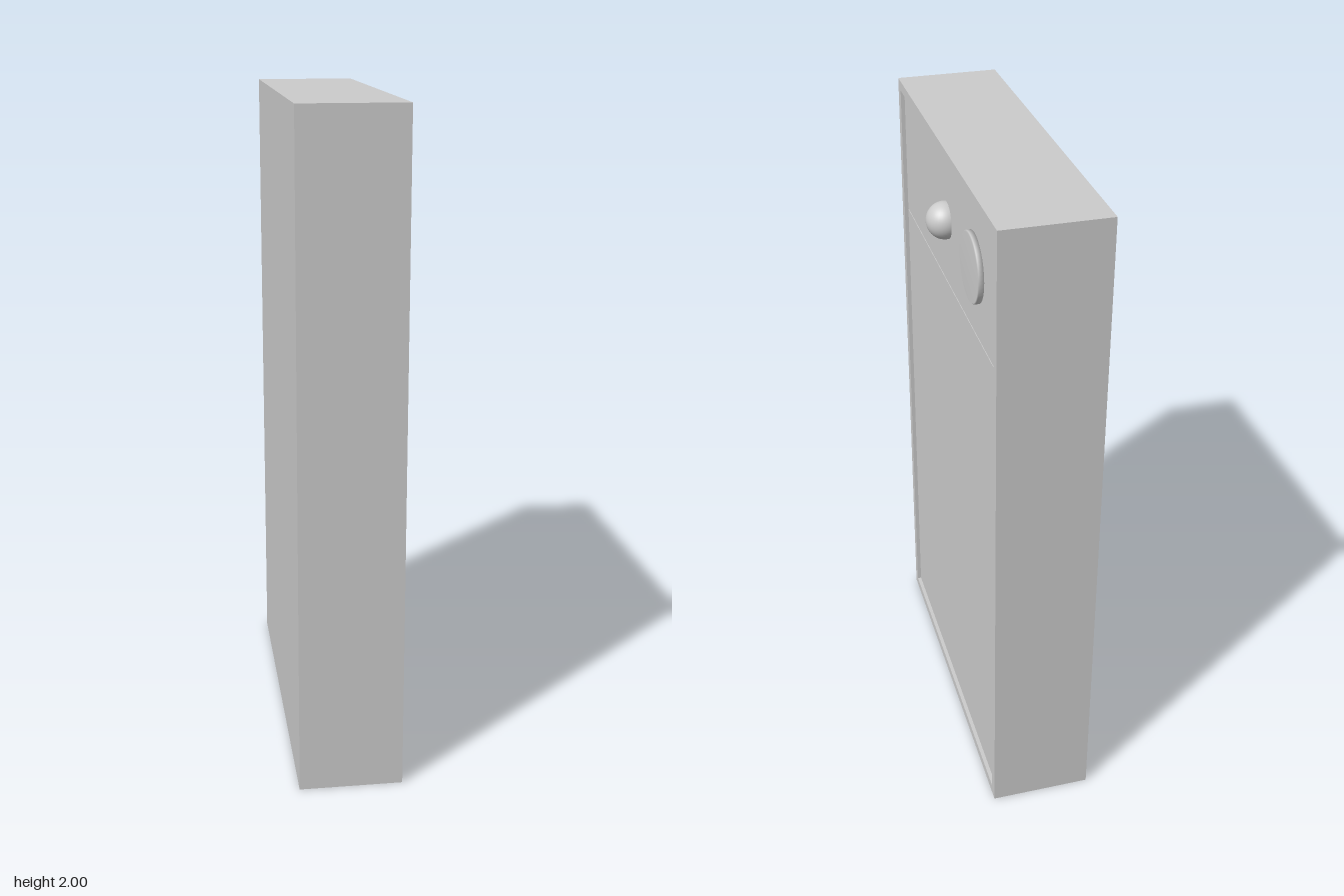
import * as THREE from 'three';

const material = new THREE.MeshStandardMaterial({ color: 0xcccccc });

const HEIGHT = 2, WIDTH = 1.15;        // along y and z
const BACK = -0.18, FRONT = 0.13;      // along x, the detailed face is +x
const RIM = 0.03, RIM_DEPTH = 0.03, RECESS = 0.012;
const SPLIT = 1.575, GROOVE = 0.004;
const FIXTURE_Y = 1.775;

export function createModel() {
  const group = new THREE.Group();

  function add(name, geometry, x, y, z) {
    const mesh = new THREE.Mesh(geometry, material);
    mesh.name = name;
    mesh.position.set(x, y, z);
    group.add(mesh);
    return mesh;
  }

  // Main slab behind the rim
  const slabDepth = FRONT - RIM_DEPTH - BACK;
  add('body', new THREE.BoxGeometry(slabDepth, HEIGHT, WIDTH), BACK + slabDepth / 2, HEIGHT / 2, 0);

  // Raised rim around the face
  const rectangle = (Type, w, h) => new Type([
    new THREE.Vector2(-w / 2, -h / 2), new THREE.Vector2(w / 2, -h / 2),
    new THREE.Vector2(w / 2, h / 2), new THREE.Vector2(-w / 2, h / 2),
  ]);
  const innerWidth = WIDTH - 2 * RIM;
  const rimShape = rectangle(THREE.Shape, WIDTH, HEIGHT);
  rimShape.holes.push(rectangle(THREE.Path, innerWidth, HEIGHT - 2 * RIM));
  const rim = new THREE.ExtrudeGeometry(rimShape, { depth: RIM_DEPTH, bevelEnabled: false });
  rim.rotateY(Math.PI / 2);
  add('rim', rim, FRONT - RIM_DEPTH, HEIGHT / 2, 0);

  // Two recessed panels with a fine groove between them
  const panelDepth = RIM_DEPTH - RECESS;
  const panelX = FRONT - RIM_DEPTH + panelDepth / 2;
  const panels = [
    ['lowerPanel', RIM, SPLIT - GROOVE / 2],
    ['upperPanel', SPLIT + GROOVE / 2, HEIGHT - RIM],
  ];
  for (const [name, low, high] of panels) {
    add(name, new THREE.BoxGeometry(panelDepth, high - low, innerWidth), panelX, (low + high) / 2, 0);
  }

  // Round knob, half sunk into the upper panel
  add('knob', new THREE.SphereGeometry(0.055, 32, 24), 0.125, FIXTURE_Y, 0);

  // Flat disc with a slightly eased edge
  const discProfile = [[0, 0], [0.1, 0], [0.1, 0.017], [0.097, 0.02], [0, 0.02]]
    .map(([r, y]) => new THREE.Vector2(r, y));
  const disc = new THREE.LatheGeometry(discProfile, 48);
  disc.rotateZ(-Math.PI / 2);
  add('disc', disc, 0.115, FIXTURE_Y, -0.31);

  return group;
}
